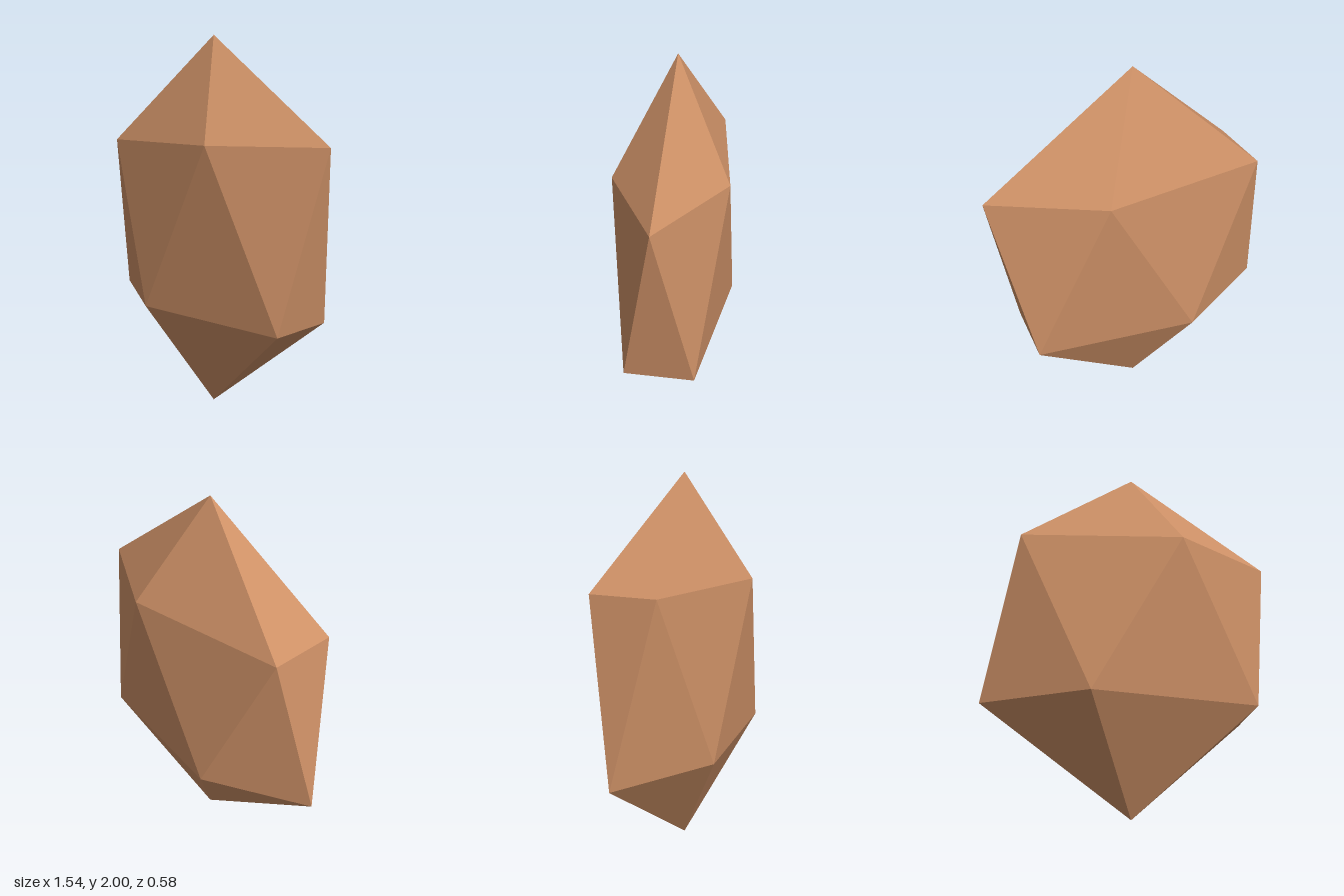
import * as THREE from 'three';

// Five points of a flattened ring at height y
function ring(y, turn) {
  return Array.from({ length: 5 }, (_, i) => {
    const a = (i * 2 + turn) * Math.PI / 5;
    return new THREE.Vector3(0.77 * Math.cos(a), y, 0.304 * Math.sin(a));
  });
}

export function createModel() {
  const group = new THREE.Group();
  group.name = 'gemstone';

  const top = new THREE.Vector3(0, 2, 0);
  const bottom = new THREE.Vector3(0, 0, 0);
  const upper = ring(1.447, 0);
  const lower = ring(0.553, 1);

  // Crown, zigzag belt and base, five facets at a time
  const corners = [];
  for (let i = 0; i < 5; i++) {
    const j = (i + 1) % 5;
    corners.push(top, upper[j], upper[i]);
    corners.push(upper[i], upper[j], lower[i]);
    corners.push(lower[i], upper[j], lower[j]);
    corners.push(bottom, lower[i], lower[j]);
  }
  const geometry = new THREE.BufferGeometry().setFromPoints(corners);
  geometry.computeVertexNormals();

  const stone = new THREE.Mesh(
    geometry,
    new THREE.MeshStandardMaterial({ color: 0xcd9066, flatShading: true })
  );
  stone.name = 'facetedStone';
  group.add(stone);
  return group;
}
